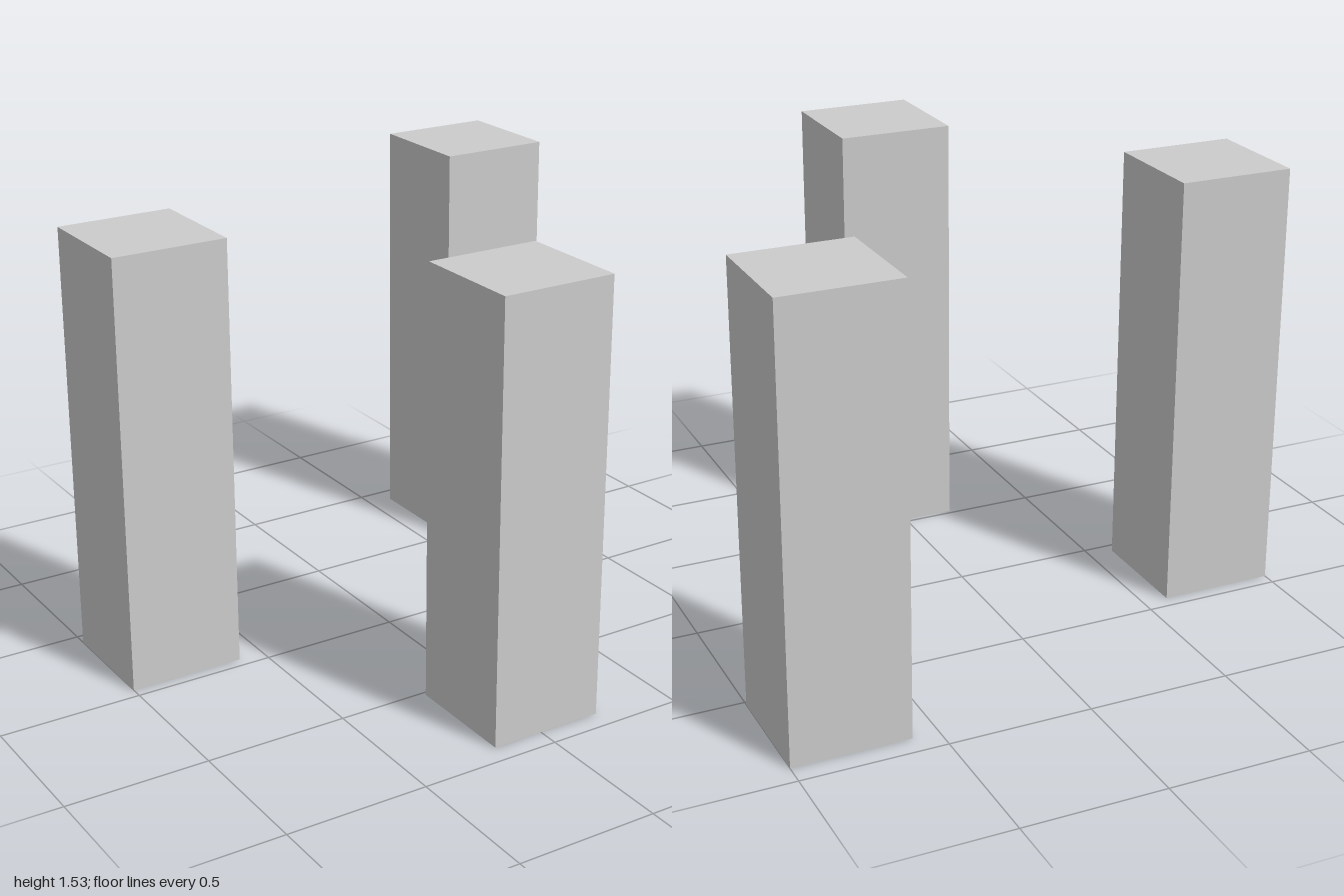
import * as THREE from 'three';

const WIDTH = 0.408;
const HEIGHT = 1.53;

export function createModel() {
  const group = new THREE.Group();
  group.name = 'pillars';
  const material = new THREE.MeshStandardMaterial({ color: 0xcccccc, flatShading: true });
  const geometry = new THREE.BoxGeometry(WIDTH, HEIGHT, WIDTH);

  // Three identical square pillars: name, x, z
  const pillars = [
    ['rightPillar', -0.796, -0.246],
    ['frontPillar', 0.022, 0.72],
    ['backLeftPillar', 0.796, -0.72],
  ];
  for (const [name, x, z] of pillars) {
    const pillar = new THREE.Mesh(geometry, material);
    pillar.name = name;
    pillar.position.set(x, HEIGHT / 2, z);
    group.add(pillar);
  }
  return group;
}
